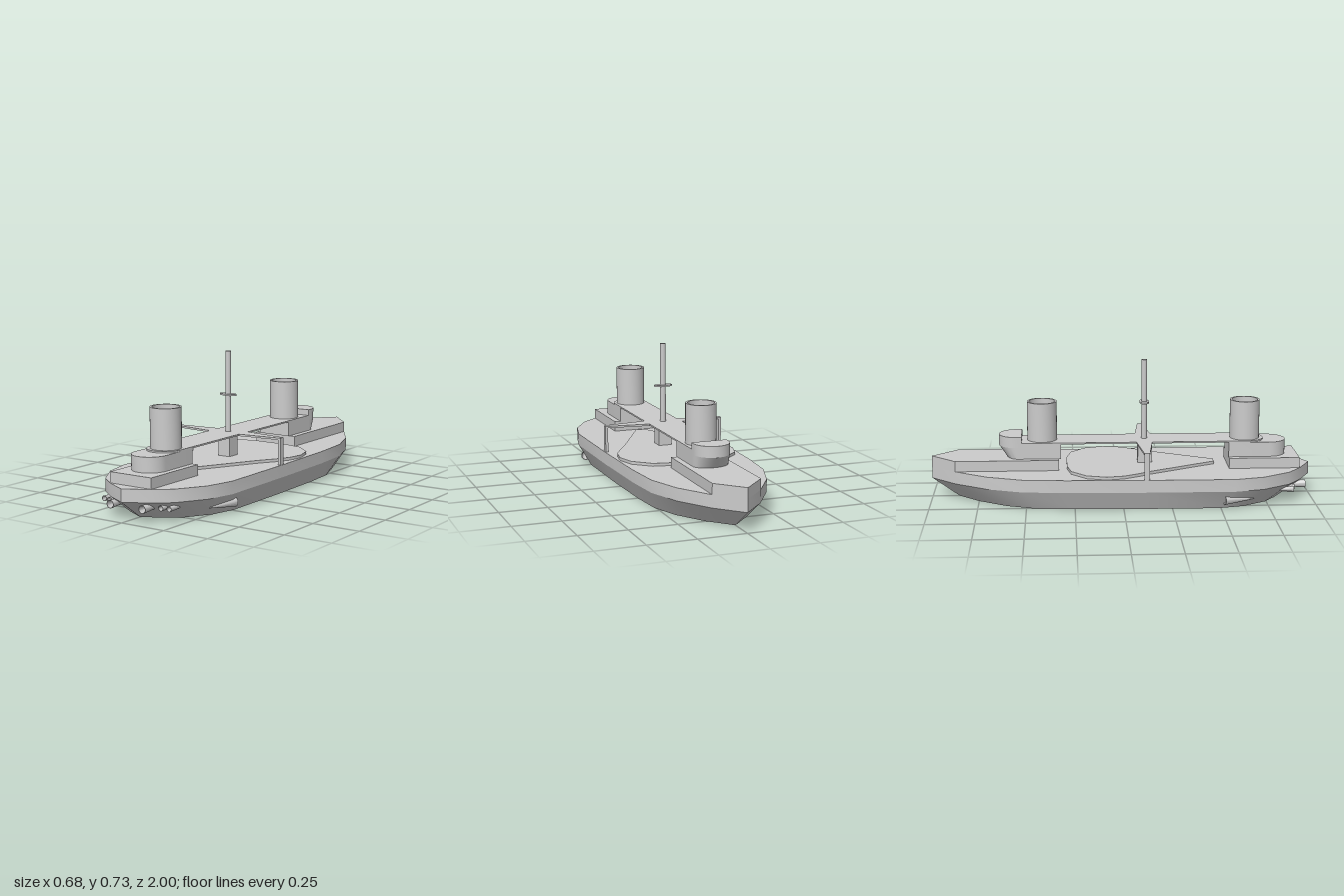
import * as THREE from 'three';
import { toCreasedNormals } from 'three/addons/utils/BufferGeometryUtils.js';

const grey = new THREE.MeshStandardMaterial({ color: 0xcccccc });
const greyDouble = new THREE.MeshStandardMaterial({ color: 0xcccccc, side: THREE.DoubleSide });

export function createModel() {
  const model = new THREE.Group();

  const add = (name, geometry, material = grey) => {
    const mesh = new THREE.Mesh(geometry, material);
    mesh.name = name;
    model.add(mesh);
    return mesh;
  };

  // Half outline [x, z] from one end to the other, mirrored across x = 0
  const mirrored = (half) => [...half, ...half.filter(([x]) => x > 0).reverse().map(([x, z]) => [-x, z])];

  // Plan outline [x, z] raised from y0 to y1; lowerRule may move the bottom corners
  const slab = (points, y0, y1, lowerRule) => {
    const shape = new THREE.Shape(points.map(([x, z]) => new THREE.Vector2(x, -z)));
    const g = new THREE.ExtrudeGeometry(shape, { depth: y1 - y0, bevelEnabled: false });
    g.rotateX(-Math.PI / 2).translate(0, y0, 0);
    const p = g.attributes.position;
    if (lowerRule) {
      for (let i = 0; i < p.count; i++) {
        if (p.getY(i) > (y0 + y1) / 2) continue;
        const [x, z] = lowerRule(p.getX(i), p.getZ(i));
        p.setX(i, x);
        p.setZ(i, z);
      }
    }
    return toCreasedNormals(g, 0.5);
  };

  // Half outline with a straight end at z0 and a round end centred on zc
  const roundEnded = (w, z0, zc) => {
    const dir = Math.sign(zc - z0);
    const half = [[w, z0]];
    for (let i = 0; i <= 10; i++) {
      const a = (i / 10) * Math.PI / 2;
      half.push([i === 10 ? 0 : w * Math.cos(a), zc + dir * w * Math.sin(a)]);
    }
    return mirrored(half);
  };

  const box = (name, w, y0, y1, z0, z1, x = 0) => {
    const g = new THREE.BoxGeometry(w, y1 - y0, z1 - z0);
    return add(name, g.translate(x, (y0 + y1) / 2, (z0 + z1) / 2));
  };

  // Hull: tapered lower body and upright upper band
  const hull = mirrored([[0, 1], [0.12, 0.935], [0.21, 0.865], [0.3, 0.72], [0.337, 0.57],
    [0.333, 0.1], [0.32, -0.3], [0.3, -0.52], [0.235, -0.7], [0.125, -0.87], [0, -1]]);
  add('lowerHull', slab(hull, 0, 0.1, (x, z) => [x * 0.86, z * 0.86]));
  add('upperHull', slab(hull, 0.1, 0.165));

  // Raised decks at both ends
  box('roundEndDeck', 0.25, 0.165, 0.22, 0.56, 0.93);
  const pointedDeck = slab(mirrored([[0.125, -0.33], [0.125, -0.87], [0, -1]]), 0.165, 0.22);
  add('pointedEndDeck', pointedDeck);

  // Low rounded plate amidships
  add('deckPlate', slab(mirrored([[0.025, 0.49], [0.21, 0.15], [0.26, 0.075], [0.3, 0],
    [0.317, -0.09], [0.287, -0.19], [0.2, -0.268], [0.09, -0.29]]), 0.165, 0.18));

  // Deck houses and the flared, raised lookout
  add('roundEndHouse', slab(roundEnded(0.093, 0.56, 0.775), 0.22, 0.297));
  box('pointedEndHouse', 0.186, 0.22, 0.297, -0.53, -0.32);
  const nose = roundEnded(0.093, -0.525, -0.552);
  add('lookoutBase', slab(nose, 0.22, 0.28, (x, z) => [x, -0.525 + (z + 0.525) * 0.65]));
  add('lookout', slab(nose, 0.28, 0.337));

  // Long walkway with tapering side arms on posts
  add('walkway', slab(roundEnded(0.093, -0.525, 0.657), 0.297, 0.305));
  box('centrePillar', 0.07, 0.165, 0.297, 0.085, 0.16);
  for (const s of [1, -1]) {
    add('sideArm', slab([[s * 0.09, 0.075], [s * 0.33, 0.102], [s * 0.33, 0.13], [s * 0.09, 0.158]], 0.295, 0.305));
    box('sidePost', 0.014, 0.165, 0.297, 0.102, 0.13, s * 0.323);
  }

  // Hollow funnels
  for (const z of [0.652, -0.418]) {
    const profile = [[0, 0.31], [0.067, 0.31], [0.067, 0.51], [0.078, 0.51], [0.078, 0.297]]
      .map(([r, y]) => new THREE.Vector2(r, y)).reverse();
    const g = toCreasedNormals(new THREE.LatheGeometry(profile, 32), 0.5);
    add('funnel', g, greyDouble).position.z = z;
  }

  // Mast with a flat elongated platform
  add('mast', new THREE.CylinderGeometry(0.015, 0.015, 0.43, 16)).position.set(0, 0.512, 0.12);
  const platform = add('mastPlatform', new THREE.CylinderGeometry(0.025, 0.025, 0.008, 24));
  platform.scale.x = 2;
  platform.position.set(0, 0.5, 0.12);

  // Open cone from a narrow end to a wide mouth with a recessed inside
  const cone = (name, from, to, r0, r1) => {
    const a = new THREE.Vector3(...from);
    const b = new THREE.Vector3(...to);
    const d = b.clone().sub(a);
    const len = d.length();
    const profile = [[r0, 0], [r1, len], [r1 * 0.87, len], [r0 * 0.8, len * 0.35], [0, len * 0.35]]
      .map(([r, y]) => new THREE.Vector2(r, y));
    const mesh = add(name, toCreasedNormals(new THREE.LatheGeometry(profile, 20), 0.5), greyDouble);
    mesh.position.copy(a);
    mesh.quaternion.setFromUnitVectors(new THREE.Vector3(0, 1, 0), d.normalize());
  };

  // Nozzles at the rounded end and scoops along the sides
  for (const s of [1, -1]) {
    for (const [x, r, z0, z1] of [[0.097, 0.021, 0.85, 0.967], [0.156, 0.014, 0.78, 0.9], [0.197, 0.014, 0.76, 0.89]]) {
      cone('nozzle', [s * x, 0.071, z0], [s * x, 0.071, z1], r * 0.6, r);
    }
    cone('sideScoop', [s * 0.275, 0.046, 0.67], [s * 0.314, 0.05, 0.515], 0.004, 0.025);
  }

  return model;
}
